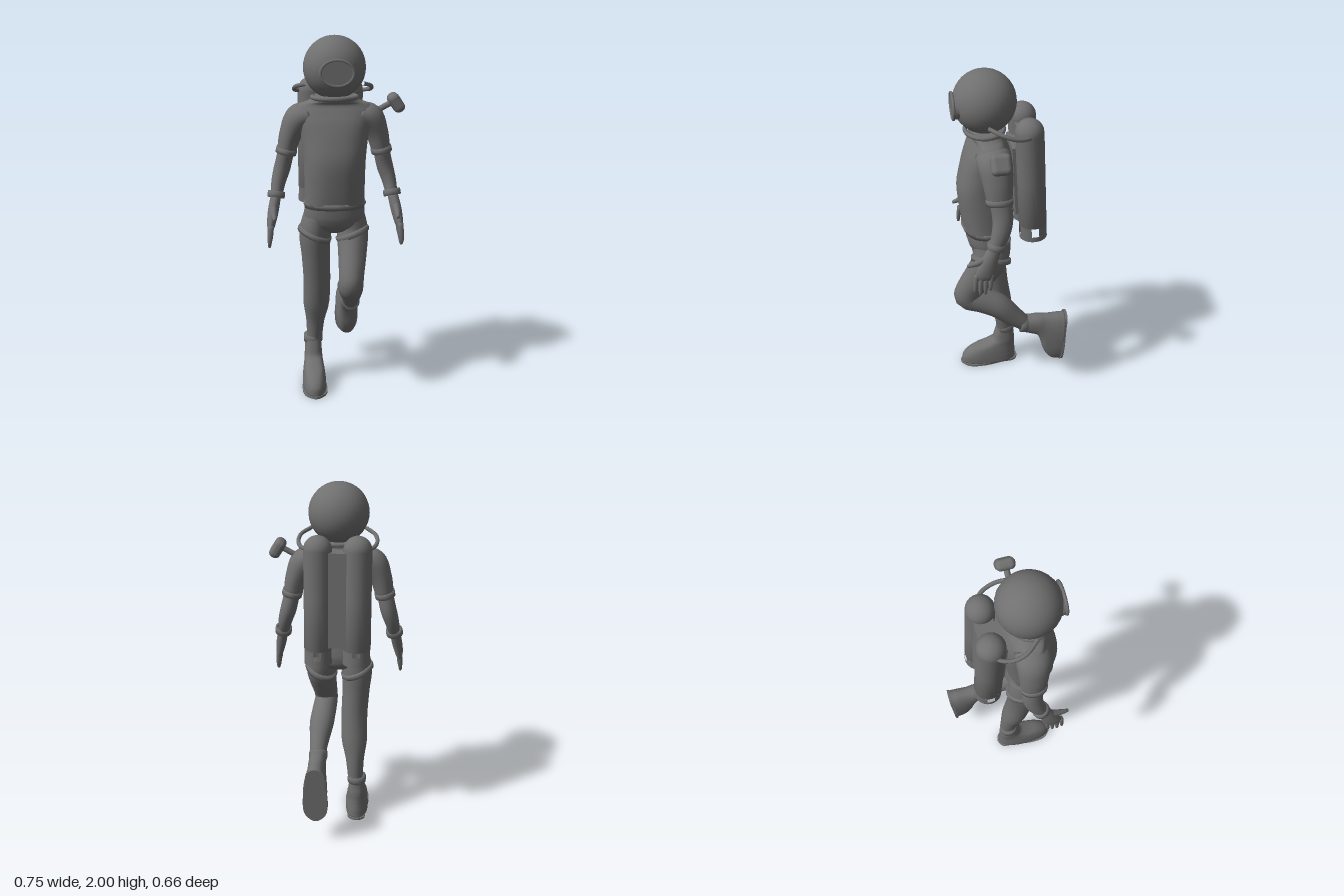
import * as THREE from 'three';
import { RoundedBoxGeometry } from 'three/addons/geometries/RoundedBoxGeometry.js';

const mat = new THREE.MeshStandardMaterial({ color: 0x707070 });
const thin = new THREE.MeshStandardMaterial({ color: 0x707070, side: THREE.DoubleSide });

function add(parent, name, geometry, material = mat) {
  const mesh = new THREE.Mesh(geometry, material);
  mesh.name = name;
  parent.add(mesh);
  return mesh;
}

// Smooth capped skin through sections [x, y, z, half width, half depth];
// power > 2 squares them off, level keeps every section horizontal (list them upwards)
function loft(sections, { steps = 4, sides = 18, power = 2, level = false } = {}) {
  const path = new THREE.CatmullRomCurve3(sections.map(s => new THREE.Vector3(s[0], s[1], s[2])));
  const size = new THREE.CatmullRomCurve3(sections.map(s => new THREE.Vector3(s[3], s[4], 0)));
  const n = (sections.length - 1) * steps, pos = [], idx = [];
  const bend = v => Math.sign(v) * Math.pow(Math.abs(v), 2 / power);
  for (let i = 0; i <= n; i++) {
    const c = path.getPoint(i / n), r = size.getPoint(i / n);
    const t = level ? new THREE.Vector3(0, 1, 0) : path.getTangent(i / n);
    const u = new THREE.Vector3(1, 0, 0).addScaledVector(t, -t.x).normalize();
    const v = new THREE.Vector3().crossVectors(t, u);
    for (let j = 0; j < sides; j++) {
      const a = (j / sides) * Math.PI * 2;
      const p = c.clone().addScaledVector(u, r.x * bend(Math.cos(a))).addScaledVector(v, r.y * bend(Math.sin(a)));
      pos.push(p.x, p.y, p.z);
    }
  }
  const first = (n + 1) * sides, last = first + 1;
  for (const s of [sections[0], sections[sections.length - 1]]) pos.push(s[0], s[1], s[2]);
  for (let j = 0; j < sides; j++) {
    const k = (j + 1) % sides;
    for (let i = 0; i < n; i++) {
      const a = i * sides, b = a + sides;
      idx.push(a + j, a + k, b + k, a + j, b + k, b + j);
    }
    idx.push(first, k, j, last, n * sides + j, n * sides + k);
  }
  const g = new THREE.BufferGeometry();
  g.setAttribute('position', new THREE.Float32BufferAttribute(pos, 3));
  g.setIndex(idx);
  g.computeVertexNormals();
  return g;
}

// Raised elliptical cuff around a limb
function band(parent, name, [x, y, z], rx, rz, h, tiltX = 0, tiltZ = 0) {
  const profile = [[0.8, -h / 2], [1, -h / 2], [1.03, 0], [1, h / 2], [0.8, h / 2]].map(p => new THREE.Vector2(...p));
  const mesh = add(parent, name, new THREE.LatheGeometry(profile, 18).scale(rx, 1, rz), thin);
  mesh.position.set(x, y, z);
  mesh.rotation.set(tiltX, 0, tiltZ);
}

function tube(points, radius) {
  const curve = new THREE.CatmullRomCurve3(points.map(p => new THREE.Vector3(...p)));
  return new THREE.TubeGeometry(curve, 20, radius, 8);
}

// Boot standing on y = 0, toe towards +z
function makeBoot(name) {
  const boot = new THREE.Group();
  boot.name = name;
  add(boot, 'bootUpper', loft([
    [0, 0.008, 0.106, 0.068, 0.17], [0, 0.05, 0.105, 0.066, 0.168], [0, 0.085, 0.094, 0.062, 0.154],
    [0, 0.115, 0.072, 0.057, 0.13], [0, 0.138, 0.04, 0.053, 0.097], [0, 0.165, 0.013, 0.051, 0.07],
    [0, 0.21, 0.007, 0.048, 0.06], [0, 0.27, 0, 0.044, 0.05]], { power: 2.4, sides: 24, level: true }));
  const half = [[0.046, -0.05], [0.055, 0.03], [0.071, 0.14], [0.058, 0.24]];
  const outline = [...half, [0, 0.285], ...half.map(([x, z]) => [-x, z]).reverse(), [0, -0.074]];
  const curve = new THREE.CatmullRomCurve3(outline.map(([x, z]) => new THREE.Vector3(x, z, 0)), true);
  const shape = new THREE.Shape(curve.getPoints(36).map(p => new THREE.Vector2(p.x, p.y)));
  add(boot, 'bootSole', new THREE.ExtrudeGeometry(shape, { depth: 0.012, bevelEnabled: false })
    .rotateX(Math.PI / 2).translate(0, 0.012, 0));
  band(boot, 'ankleCuff', [0, 0.255, 0], 0.054, 0.054, 0.042);
  return boot;
}

// Sleeve, forearm and open hand; s = 1 is the left side
function makeArm(s) {
  const arm = new THREE.Group();
  arm.name = s > 0 ? 'leftArm' : 'rightArm';
  const side = list => list.map(([x, ...rest]) => [s * x, ...rest]);
  add(arm, 'sleeve', loft(side([[0.13, 1.595, 0.105, 0.055, 0.09], [0.187, 1.567, 0.102, 0.076, 0.09],
    [0.23, 1.49, 0.095, 0.062, 0.079], [0.256, 1.39, 0.09, 0.051, 0.067]]), { steps: 5 }));
  band(arm, 'sleeveCuff', [s * 0.257, 1.39, 0.09], 0.056, 0.071, 0.032, 0, s * 0.22);
  add(arm, 'forearm', loft(side([[0.256, 1.4, 0.09, 0.044, 0.056], [0.279, 1.3, 0.078, 0.045, 0.055],
    [0.302, 1.22, 0.092, 0.039, 0.049], [0.316, 1.14, 0.125, 0.031, 0.038]])));
  band(arm, 'wristCuff', [s * 0.316, 1.155, 0.12], 0.047, 0.047, 0.034, -0.3, s * 0.15);
  add(arm, 'palm', loft(side([[0.318, 1.15, 0.125, 0.028, 0.034], [0.335, 1.07, 0.16, 0.029, 0.045],
    [0.348, 1.0, 0.185, 0.022, 0.052], [0.351, 0.975, 0.19, 0.014, 0.048]])));
  for (let i = 0; i < 4; i++) {
    const z = 0.15 + i * 0.027, tip = [0.91, 0.887, 0.885, 0.905][i];
    add(arm, 'finger', loft(side([[0.348, 1.01, z, 0.016, 0.014], [0.354, 0.95, z + 0.007, 0.015, 0.013],
      [0.359, tip, z + 0.01, 0.008, 0.008]]), { sides: 8, steps: 3 }));
  }
  add(arm, 'thumb', loft(side([[0.33, 1.11, 0.15, 0.019, 0.02], [0.332, 1.075, 0.215, 0.018, 0.018],
    [0.328, 1.055, 0.275, 0.009, 0.009]]), { sides: 8, steps: 3 }));
  return arm;
}

// Air tank with a domed top and an open, windowed skirt
function makeTank(x) {
  const tank = new THREE.Group(), r = 0.076;
  tank.name = 'airTank';
  const profile = [[0, 0.083], [r, 0.083], [r, 0.36], [r, 0.628]].map(p => new THREE.Vector2(...p));
  for (let i = 1; i <= 7; i++) {
    const a = (i / 7) * Math.PI / 2;
    profile.push(new THREE.Vector2(r * Math.cos(a), 0.628 + r * Math.sin(a)));
  }
  add(tank, 'tankBody', new THREE.LatheGeometry(profile, 24), thin);
  add(tank, 'skirtRim', new THREE.CylinderGeometry(r, r, 0.03, 24, 1, true).translate(0, 0.015, 0), thin);
  const gap = 0.54;
  for (let i = 0; i < 4; i++) {
    add(tank, 'skirtPost', new THREE.CylinderGeometry(r, r, 0.053, 6, 1, true,
      i * Math.PI / 2 + gap / 2, Math.PI / 2 - gap).translate(0, 0.0565, 0), thin);
  }
  tank.position.set(x, 1.06, -0.122);
  tank.rotation.x = 0.045;
  return tank;
}

export function createModel() {
  const model = new THREE.Group();
  model.name = 'diver';
  const upper = new THREE.Group();
  upper.name = 'upperBody';
  upper.position.x = -0.01;
  model.add(upper);

  // Helmet, porthole and collar
  add(upper, 'helmet', new THREE.SphereGeometry(0.165, 28, 20).translate(0, 1.835, 0.122));
  add(upper, 'porthole', new THREE.CylinderGeometry(0.085, 0.092, 0.08, 28)
    .rotateX(Math.PI / 2).scale(1, 0.76, 1).translate(0, 1.82, 0.25));
  add(upper, 'portholeRim', new THREE.TorusGeometry(0.085, 0.008, 8, 28).scale(1, 0.77, 1).translate(0, 1.82, 0.287));
  add(upper, 'collar', new THREE.TorusGeometry(0.118, 0.013, 8, 24)
    .rotateX(Math.PI / 2).scale(1, 1, 0.86).translate(0, 1.68, 0.125));

  // Torso with shoulders, hem and hips
  add(upper, 'torso', loft([[0, 1.09, 0.13, 0.165, 0.122], [0, 1.2, 0.13, 0.163, 0.138],
    [0, 1.35, 0.128, 0.167, 0.152], [0, 1.48, 0.116, 0.182, 0.138], [0, 1.56, 0.11, 0.203, 0.118],
    [0, 1.615, 0.107, 0.212, 0.095], [0, 1.645, 0.11, 0.188, 0.08], [0, 1.662, 0.118, 0.14, 0.084],
    [0, 1.69, 0.122, 0.105, 0.085]], { sides: 32, power: 2.35, level: true }));
  band(upper, 'hem', [0, 1.11, 0.13], 0.168, 0.13, 0.026);
  add(upper, 'hips', loft([[0, 0.935, 0.105, 0.03, 0.04], [0, 0.955, 0.107, 0.09, 0.085],
    [0, 0.99, 0.112, 0.15, 0.112], [0, 1.04, 0.117, 0.167, 0.122], [0, 1.11, 0.125, 0.16, 0.12]],
  { sides: 24, power: 2.3, level: true }));
  upper.add(makeArm(1), makeArm(-1));

  // Shoulder lamp on a short stalk
  add(upper, 'lampStalk', tube([[0.2, 1.585, 0.095], [0.25, 1.612, 0.095], [0.31, 1.645, 0.095]], 0.016));
  const lamp = add(upper, 'lamp', new RoundedBoxGeometry(0.062, 0.108, 0.105, 4, 0.027));
  lamp.position.set(0.332, 1.643, 0.093);
  lamp.rotation.z = 0.58;

  // Tanks, bridge block and hoses
  model.add(makeTank(-0.12), makeTank(0.09));
  const bridge = add(model, 'tankBridge', new THREE.BoxGeometry(0.12, 0.52, 0.1));
  bridge.position.set(-0.015, 1.42, -0.105);
  bridge.rotation.x = 0.045;
  const plate = add(model, 'backPlate', new THREE.BoxGeometry(0.2, 0.4, 0.06));
  plate.position.set(-0.015, 1.4, -0.045);
  plate.rotation.x = 0.045;
  for (const s of [1, -1]) {
    add(upper, 'airHose', tube([[s * 0.12, 1.68, -0.09], [s * 0.175, 1.69, -0.08], [s * 0.208, 1.705, -0.01],
      [s * 0.2, 1.73, 0.06], [s * 0.15, 1.75, 0.125]], 0.011));
  }

  // Standing leg
  add(model, 'rightLeg', loft([[-0.095, 1.06, 0.115, 0.075, 0.105], [-0.115, 0.94, 0.102, 0.088, 0.106],
    [-0.112, 0.8, 0.09, 0.079, 0.092], [-0.105, 0.65, 0.07, 0.076, 0.08], [-0.107, 0.5, 0.042, 0.075, 0.074],
    [-0.112, 0.38, 0.015, 0.054, 0.06], [-0.117, 0.24, 0, 0.042, 0.048]]));
  band(model, 'rightThighCuff', [-0.118, 0.925, 0.1], 0.096, 0.113, 0.03, 0, -0.4);
  const standing = makeBoot('rightBoot');
  standing.position.set(-0.125, 0, 0);
  model.add(standing);

  // Raised leg, bent at the knee
  add(model, 'leftLeg', loft([[0.075, 1.06, 0.105, 0.075, 0.105], [0.09, 0.94, 0.115, 0.087, 0.1],
    [0.085, 0.83, 0.172, 0.079, 0.09], [0.075, 0.73, 0.233, 0.07, 0.08], [0.071, 0.67, 0.245, 0.068, 0.082],
    [0.077, 0.635, 0.17, 0.071, 0.076], [0.087, 0.59, 0.08, 0.072, 0.073], [0.097, 0.51, -0.005, 0.057, 0.061],
    [0.102, 0.45, -0.075, 0.045, 0.046]]));
  band(model, 'leftThighCuff', [0.09, 0.925, 0.115], 0.096, 0.112, 0.03, -0.2, 0.4);
  const raised = makeBoot('leftBoot');
  raised.position.set(0.1, 0.425, -0.325);
  raised.rotation.x = 1.49;
  model.add(raised);

  return model;
}
